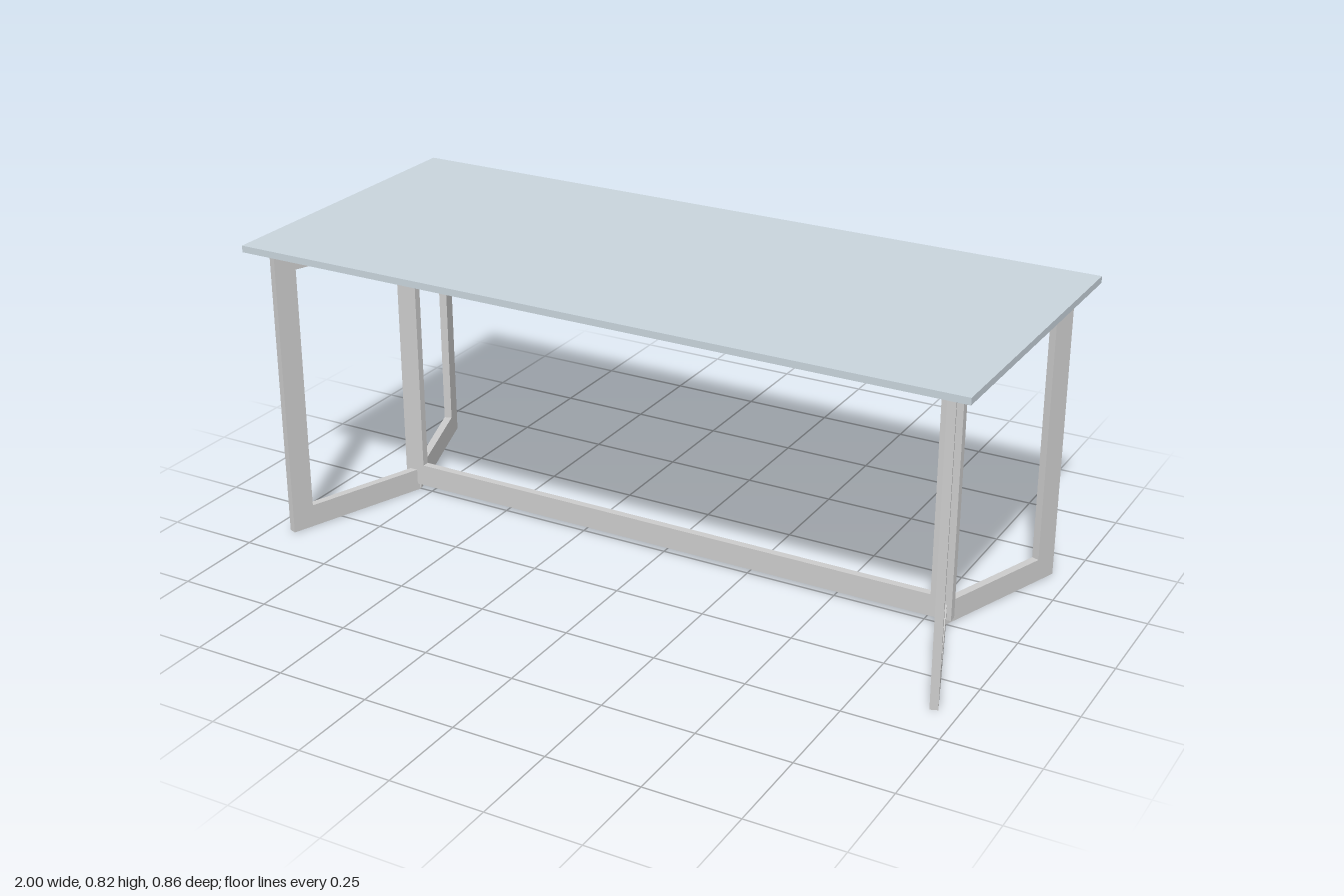
import * as THREE from 'three';

const grey = new THREE.MeshStandardMaterial({ color: 0xcccccc });
const glass = new THREE.MeshStandardMaterial({ color: 0xc8d4dc });
const THICK = 0.021; // thickness of the frame bars
const BAR = 0.062; // width of the frame bars
const TOP_Y = 0.807; // underside of the table top

function shapeFrom(points) {
  return new THREE.Shape(points.map(([x, y]) => new THREE.Vector2(x, y)));
}

function rectPoints(x0, y0, x1, y1) {
  return [[x0, y0], [x1, y0], [x1, y1], [x0, y1]];
}

// Flat plate centred on its thickness
function plate(shape) {
  return new THREE.ExtrudeGeometry(shape, { depth: THICK, bevelEnabled: false })
    .translate(0, 0, -THICK / 2);
}

export function createModel() {
  const group = new THREE.Group();
  group.name = 'table';

  // Table top
  const top = new THREE.Mesh(new THREE.BoxGeometry(2, 0.018, 0.86), glass);
  top.name = 'tableTop';
  top.position.y = TOP_Y + 0.009;
  group.add(top);

  // Long rectangular frame joining both ends
  const outline = shapeFrom(rectPoints(-0.826, 0.019, 0.826, 0.791));
  outline.holes.push(shapeFrom(rectPoints(-0.768, 0.08, 0.768, 0.733)));
  const centreFrame = new THREE.Mesh(plate(outline), grey);
  centreFrame.name = 'centreFrame';
  group.add(centreFrame);

  // C-shaped wings, splayed outwards in a V at each end
  const length = 0.414;
  const splay = THREE.MathUtils.degToRad(20);
  const wingGeometry = plate(shapeFrom([
    [0, 0], [length, 0], [length, TOP_Y], [0, TOP_Y],
    [0, TOP_Y - BAR], [length - BAR, TOP_Y - BAR], [length - BAR, BAR], [0, BAR],
  ]));
  for (const sx of [-1, 1]) {
    for (const sz of [-1, 1]) {
      const wing = new THREE.Mesh(wingGeometry, grey);
      wing.name = `${sz > 0 ? 'front' : 'back'}${sx > 0 ? 'Left' : 'Right'}LegFrame`;
      wing.position.x = sx * 0.798;
      wing.rotation.y = Math.atan2(-sz * Math.cos(splay), sx * Math.sin(splay));
      group.add(wing);
    }
  }
  return group;
}
